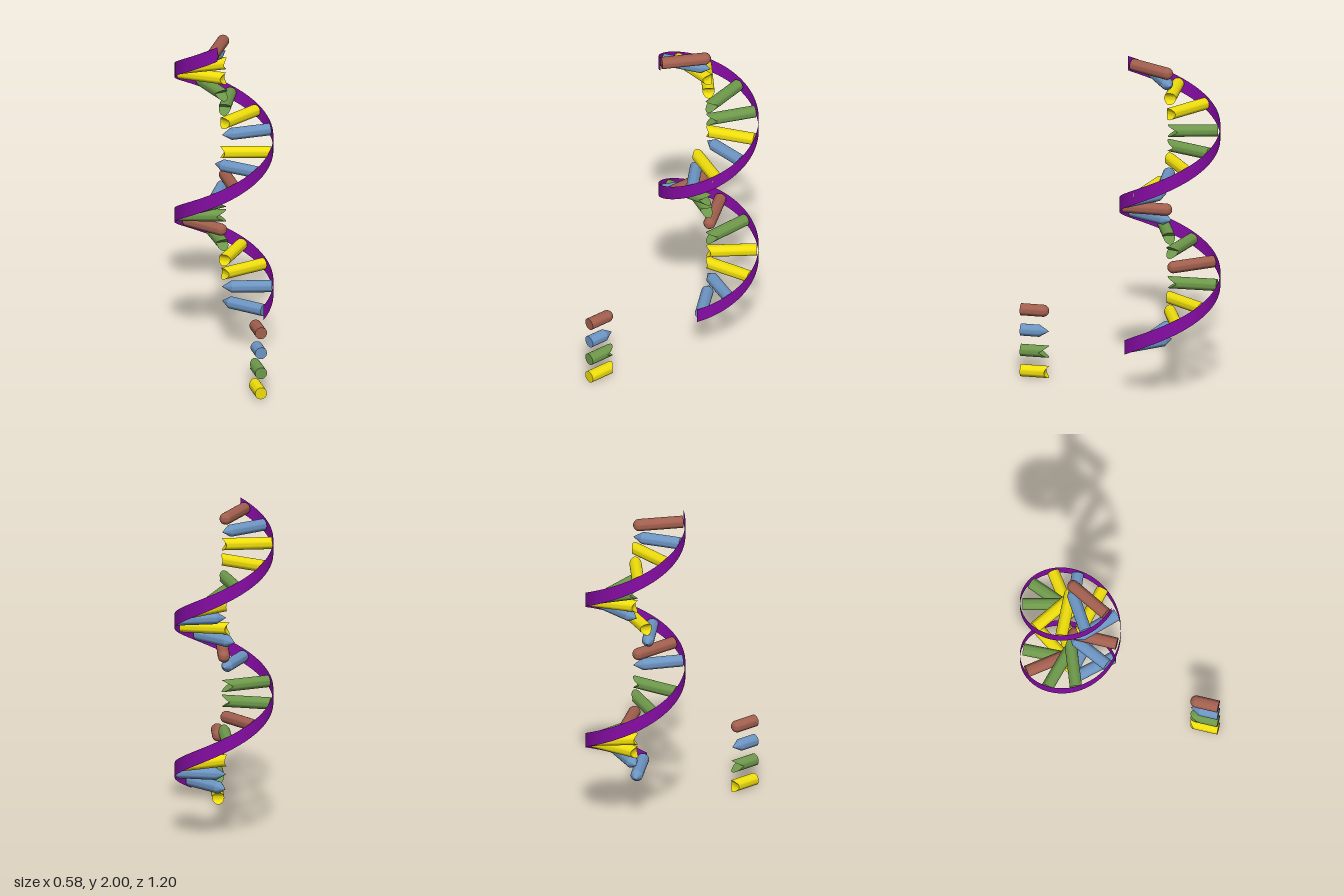
import * as THREE from 'three';
import { toCreasedNormals } from 'three/addons/utils/BufferGeometryUtils.js';

const AXIS_Z = -0.3, RX = 0.291, RZ = 0.298; // helix axis and radii
const PITCH = 0.912, FRONT_Y = 1.099;        // height per turn, height where the strand is at the front
const ROD_R = 0.036, TIP = 0.058;

const helixAngle = (y) => ((y - FRONT_Y) / PITCH) * Math.PI * 2;

const material = (color, extra = {}) => {
  const m = new THREE.MeshStandardMaterial(extra);
  m.color.set(color);
  return m;
};

// Each base has its own end: round, pointed, V-notched or hollowed.
const BASES = {
  A: { name: 'adenine', mat: material(0xa25f4e) },
  G: { name: 'guanine', mat: material(0x6c94c2) },
  C: { name: 'cytosine', mat: material(0x6d984a), notch: (u) => TIP * (1 - Math.abs(u)) },
  U: { name: 'uracil', mat: material(0xeedd0c), notch: (u) => 0.024 * (1 - u * u) },
};

// Rod along +z from its flat foot at the origin to its shaped end.
function rodGeometry(kind, length) {
  const r = ROD_R;
  const pts = [[0, 0], [r, 0]];
  if (kind === 'A') {
    for (let i = 0; i <= 10; i++) {
      const a = (i / 10) * Math.PI / 2;
      pts.push([r * Math.cos(a), length - r + r * Math.sin(a)]);
    }
  } else if (kind === 'G') {
    pts.push([r, length - TIP], [0, length]);
  } else {
    for (const k of [1, 0.75, 0.5, 0.25, 0]) pts.push([r * k, length]);
  }
  const geo = new THREE.LatheGeometry(pts.map(([x, y]) => new THREE.Vector2(x, y)), 32);
  const { notch } = BASES[kind];
  if (notch) {
    // push the end in by a rule of height across the rod
    const p = geo.attributes.position;
    for (let i = 0; i < p.count; i++) {
      if (p.getY(i) > length / 2) p.setY(i, length - notch(p.getZ(i) / r));
    }
  }
  geo.rotateX(Math.PI / 2);
  return toCreasedNormals(geo, Math.PI / 6);
}

// Thin upright ribbon wound around the axis
function strand() {
  const height = 0.09, low = 0.285, high = 1.955;
  const geo = new THREE.PlaneGeometry(1, height, 180, 1);
  const p = geo.attributes.position;
  for (let i = 0; i < p.count; i++) {
    const y = low + (p.getX(i) + 0.5) * (high - low);
    const a = helixAngle(y);
    p.setXYZ(i, RX * Math.sin(a), y + p.getY(i), AXIS_Z + RZ * Math.cos(a));
  }
  geo.computeVertexNormals();
  const mesh = new THREE.Mesh(geo, material(0x860ca4, { side: THREE.DoubleSide }));
  mesh.name = 'strandRibbon';
  return mesh;
}

// Rungs from top to bottom: kind, height, optional x and z shift of the inner end
const RUNGS = [
  ['A', 1.94], ['G', 1.865], ['U', 1.79], ['U', 1.695], ['C', 1.59],
  ['C', 1.5], ['U', 1.415], ['G', 1.34], ['U', 1.257, -0.05, 0.06], ['G', 1.177, -0.05, 0.05],
  ['A', 1.098], ['G', 1.034], ['C', 0.923], ['C', 0.833], ['A', 0.738],
  ['C', 0.648], ['U', 0.553], ['U', 0.468], ['G', 0.384], ['G', 0.294],
];

export function createModel() {
  const model = new THREE.Group();
  model.name = 'helixModel';
  model.add(strand());

  const rungGeo = {}, keyGeo = {};
  for (const kind of Object.keys(BASES)) {
    rungGeo[kind] = rodGeometry(kind, 0.296);
    keyGeo[kind] = rodGeometry(kind, 0.17);
  }

  // Rungs pointing from the ribbon to the axis
  const rungs = new THREE.Group();
  rungs.name = 'rungs';
  for (const [kind, y, dx = 0, dz = 0] of RUNGS) {
    const a = helixAngle(y);
    const rung = new THREE.Mesh(rungGeo[kind], BASES[kind].mat);
    rung.name = BASES[kind].name + 'Rung';
    rung.position.set(0.283 * Math.sin(a), y, AXIS_Z + 0.283 * Math.cos(a));
    rung.lookAt(dx, y, AXIS_Z + dz);
    rungs.add(rung);
  }
  model.add(rungs);

  // Column of sample rods in front of the helix
  const key = new THREE.Group();
  key.name = 'sampleRods';
  Object.keys(BASES).forEach((kind, i) => {
    const rod = new THREE.Mesh(keyGeo[kind], BASES[kind].mat);
    rod.name = BASES[kind].name + 'Sample';
    rod.position.set(0, 0.415 - i * 0.1263, 0.6);
    rod.rotation.y = Math.PI;
    key.add(rod);
  });
  model.add(key);
  return model;
}
